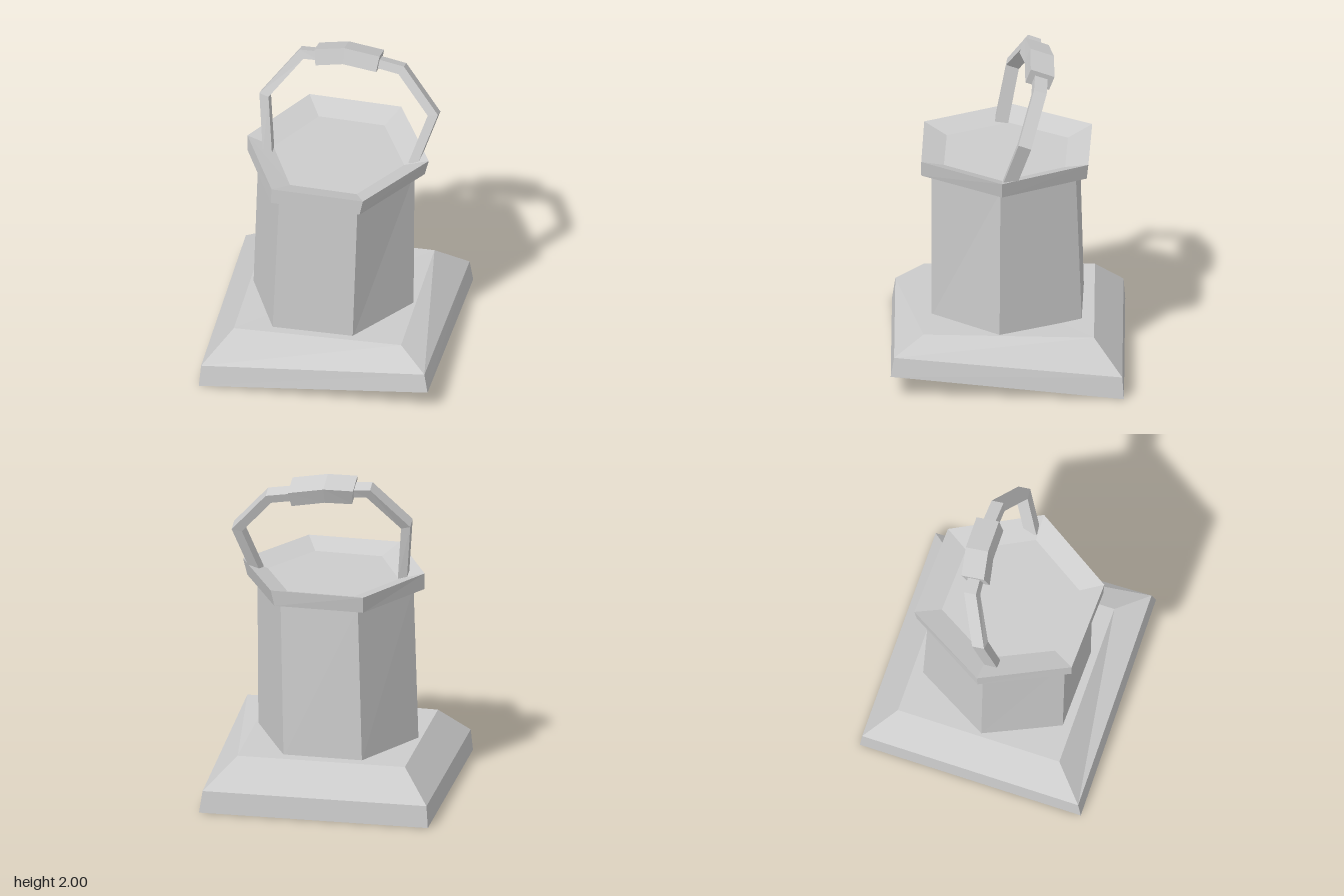
import * as THREE from 'three';

const stone = new THREE.MeshStandardMaterial({ color: 0xcccccc });
stone.name = 'paleGrey';
stone.flatShading = true;

// Skin a stack of rings (each a list of [x, y, z]) and close both ends
function loft(name, rings) {
  const pos = [];
  const tri = (...pts) => pts.forEach((p) => pos.push(...p));
  const n = rings[0].length;
  for (let r = 0; r < rings.length - 1; r++) {
    const lo = rings[r], hi = rings[r + 1];
    for (let i = 0; i < n; i++) {
      const j = (i + 1) % n;
      tri(lo[i], lo[j], hi[j]);
      tri(lo[i], hi[j], hi[i]);
    }
  }
  const first = rings[0], last = rings[rings.length - 1];
  for (let i = 1; i < n - 1; i++) {
    tri(first[0], first[i + 1], first[i]);
    tri(last[0], last[i], last[i + 1]);
  }
  const geo = new THREE.BufferGeometry();
  geo.setAttribute('position', new THREE.Float32BufferAttribute(pos, 3));
  geo.computeVertexNormals();
  const mesh = new THREE.Mesh(geo, stone);
  mesh.name = name;
  return mesh;
}

// Horizontal ring from [x, z] pairs
const level = (y, pts) => pts.map(([x, z]) => [x, y, z]);

// Square bar swept along a bent path lying in a backward-leaning plane
function bar(name, path, height, depth) {
  const pts = path.map((p) => new THREE.Vector3(...p));
  const normal = new THREE.Vector3(0, 0.33, 0.945).normalize();
  const rings = pts.map((p, i) => {
    const before = p.clone().sub(pts[Math.max(i - 1, 0)]).normalize();
    const after = pts[Math.min(i + 1, pts.length - 1)].clone().sub(p).normalize();
    const dir = before.clone().add(after).normalize();
    const miter = 1 / dir.dot(i ? before : after);
    const side = normal.clone().cross(dir).normalize().multiplyScalar(miter * height / 2);
    return [[1, 1], [-1, 1], [-1, -1], [1, -1]].map(([u, v]) =>
      p.clone().addScaledVector(side, u).addScaledVector(normal, v * depth / 2).toArray());
  });
  return loft(name, rings);
}

export function createModel() {
  const model = new THREE.Group();
  model.name = 'handledStonePost';

  // Square plinth, chipped up at its front left corner
  model.add(loft('base', [
    [[-0.7, 0, 0.695], [0.695, 0.145, 0.695], [0.695, 0, -0.7], [-0.7, 0, -0.7]],
    [[-0.69, 0.135, 0.675], [0.672, 0.26, 0.675], [0.675, 0.135, -0.69], [-0.69, 0.135, -0.69]],
    [[-0.525, 0.312, 0.5], [0.495, 0.33, 0.5], [0.495, 0.312, -0.52], [-0.525, 0.312, -0.52]],
  ]));

  // Slightly twisted six-sided column
  model.add(loft('column', [
    level(0.3, [[-0.505, 0], [-0.3, 0.445], [0.19, 0.455], [0.48, 0.045], [0.23, -0.445], [-0.25, -0.455]]),
    level(1.27, [[-0.475, 0], [-0.26, 0.445], [0.22, 0.455], [0.485, 0.04], [0.255, -0.41], [-0.22, -0.43]]),
  ]));

  // Six-sided cap with a shallow sloping recess
  model.add(loft('cap', [
    level(1.265, [[-0.545, -0.01], [-0.3, 0.5], [0.245, 0.515], [0.545, 0.03], [0.28, -0.475], [-0.265, -0.49]]),
    level(1.365, [[-0.545, -0.015], [-0.295, 0.5], [0.265, 0.515], [0.57, 0.03], [0.3, -0.485], [-0.265, -0.505]]),
    level(1.315, [[-0.385, -0.005], [-0.21, 0.365], [0.2, 0.38], [0.42, 0.03], [0.225, -0.345], [-0.18, -0.36]]),
  ]));

  // Bent carrying handle and its thicker grip
  model.add(bar('handle', [
    [-0.405, 1.31, 0.04], [-0.44, 1.68, -0.03], [-0.235, 1.925, -0.15], [-0.13, 1.92, -0.16],
    [0.02, 1.935, -0.19], [0.23, 1.885, -0.195], [0.365, 1.862, -0.19],
    [0.575, 1.62, -0.105], [0.47, 1.31, -0.01],
  ], 0.055, 0.08));
  model.add(bar('grip', [
    [-0.148, 1.92, -0.158], [0.02, 1.93, -0.19], [0.228, 1.895, -0.195],
  ], 0.1, 0.15));

  return model;
}
